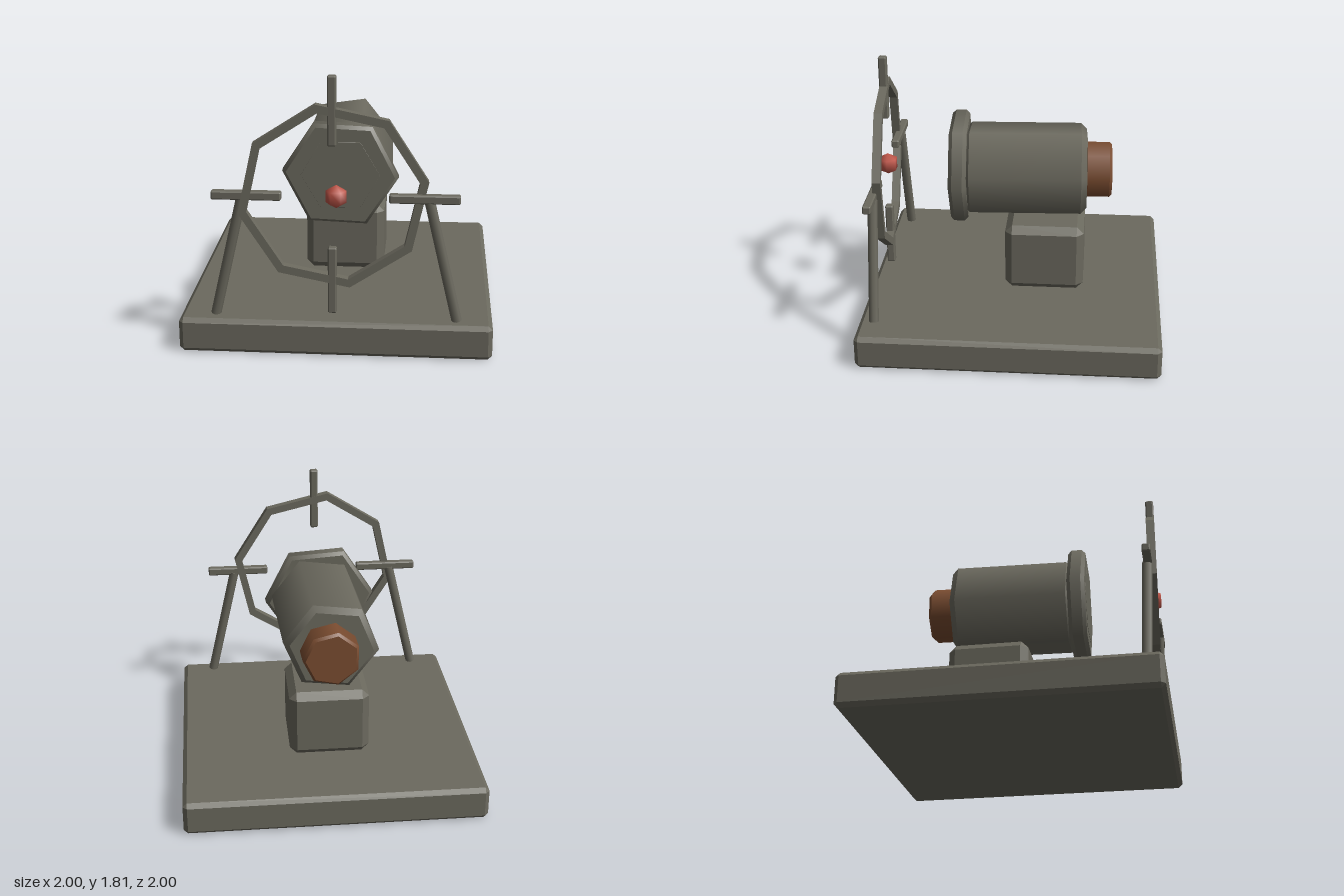
import * as THREE from 'three';
import { mergeGeometries } from 'three/addons/utils/BufferGeometryUtils.js';
import { ConvexGeometry } from 'three/addons/geometries/ConvexGeometry.js';

const rad = THREE.MathUtils.degToRad;

// Box with a single flat chamfer on every edge
function chamferBox(w, h, d, c) {
  const pts = [];
  for (const x of [-1, 1]) for (const y of [-1, 1]) for (const z of [-1, 1]) {
    const X = x * w / 2, Y = y * h / 2, Z = z * d / 2;
    pts.push(
      new THREE.Vector3(X, Y - y * c, Z - z * c),
      new THREE.Vector3(X - x * c, Y, Z - z * c),
      new THREE.Vector3(X - x * c, Y - y * c, Z));
  }
  return new ConvexGeometry(pts);
}

// Prism along z with chamfered rims and smooth sides; angle places its first corner
function chamferPrism(r, z0, z1, sides, angle, c) {
  const frustum = (rBack, rFront, a, b) =>
    new THREE.CylinderGeometry(rFront, rBack, b - a, sides, 1, true).translate(0, (a + b) / 2, 0);
  const cap = (z, flip) =>
    new THREE.CircleGeometry(r - c, sides, Math.PI / 2).rotateX(flip ? Math.PI / 2 : -Math.PI / 2).translate(0, z, 0);
  // cap corners line up with the sides' first corner
  const front = cap(z1, false).rotateY(Math.PI);
  const back = cap(z0, true);
  const g = mergeGeometries([
    frustum(r - c, r, z0, z0 + c), frustum(r, r, z0 + c, z1 - c), frustum(r, r - c, z1 - c, z1),
    front, back]);
  return g.rotateX(Math.PI / 2).rotateZ(rad(angle + 90));
}

export function createModel() {
  const model = new THREE.Group();
  const grey = new THREE.MeshStandardMaterial({ color: 0x6b695e });
  const brown = new THREE.MeshStandardMaterial({ color: 0x7a4c30 });
  const red = new THREE.MeshStandardMaterial({ color: 0xbf5548 });
  grey.name = 'gunmetal grey';
  brown.name = 'copper brown';
  red.name = 'bead red';

  const add = (name, geometry, material, x = 0, y = 0, z = 0, parent = model) => {
    const mesh = new THREE.Mesh(geometry, material);
    mesh.name = name;
    mesh.position.set(x, y, z);
    parent.add(mesh);
    return mesh;
  };

  // Base and pedestal
  add('base', chamferBox(2, 0.23, 2, 0.028), grey, 0, 0.115, 0);
  add('pedestal', chamferBox(0.54, 0.47, 0.54, 0.048), grey, 0, 0.465, -0.2);

  // Barrel, turned slightly to one side
  const barrel = new THREE.Group();
  barrel.name = 'barrel';
  barrel.position.set(0.005, 1.042, 0);
  barrel.rotation.y = rad(2.2);
  model.add(barrel);
  add('barrelBody', chamferPrism(0.323, -0.475, 0.36, 6, 8, 0.04), grey, 0, 0, 0, barrel);
  add('frontFlange', chamferPrism(0.384, 0.335, 0.455, 6, -3, 0.025), grey, -0.025, 0, 0, barrel);
  add('frontPlate', chamferPrism(0.26, 0.45, 0.457, 6, 0, 0.001), grey, -0.025, 0, 0, barrel);
  add('rearCap', chamferPrism(0.192, -0.645, -0.46, 7, 0, 0.018), brown, 0.022, 0, 0, barrel);

  // Eight-sided sight ring
  const octagon = (path, r) => {
    path.setFromPoints(Array.from({ length: 8 }, (_, i) => {
      const a = rad(10 + i * 45);
      return new THREE.Vector2(r * Math.cos(a), r * Math.sin(a));
    }));
    path.closePath();
    return path;
  };
  const ringShape = octagon(new THREE.Shape(), 0.602);
  ringShape.holes.push(octagon(new THREE.Path(), 0.547));
  const ringGeometry = new THREE.ExtrudeGeometry(ringShape, { depth: 0.056, bevelEnabled: false });
  const ring = add('sightRing', ringGeometry.translate(0, 0, -0.028), grey, -0.013, 1.042, 0.908);
  ring.rotation.y = rad(2.8);

  // Four crosshair bars
  for (const s of [-1, 1]) {
    add('horizontalBar', chamferBox(0.44, 0.055, 0.055, 0.008), grey, s * 0.556, 1.042, 0.91);
    add('verticalBar', chamferBox(0.055, 0.44, 0.055, 0.008), grey, -0.018, 1.042 + s * 0.55, 0.91);
  }

  // Splayed legs
  for (const s of [-1, 1]) {
    const top = new THREE.Vector3(s * 0.585, 1.03, 0.905);
    const foot = new THREE.Vector3(s * 0.772, 0.23, s < 0 ? 0.885 : 0.9);
    const axis = top.clone().sub(foot);
    const leg = add('leg', new THREE.CylinderGeometry(0.033, 0.033, axis.length(), 8), grey);
    leg.position.copy(top).add(foot).multiplyScalar(0.5);
    leg.quaternion.setFromUnitVectors(new THREE.Vector3(0, 1, 0), axis.normalize());
  }

  // Bead in the middle of the ring
  add('sightBead', new THREE.SphereGeometry(0.076, 6, 3), red, 0.006, 1.042, 0.9);
  return model;
}
